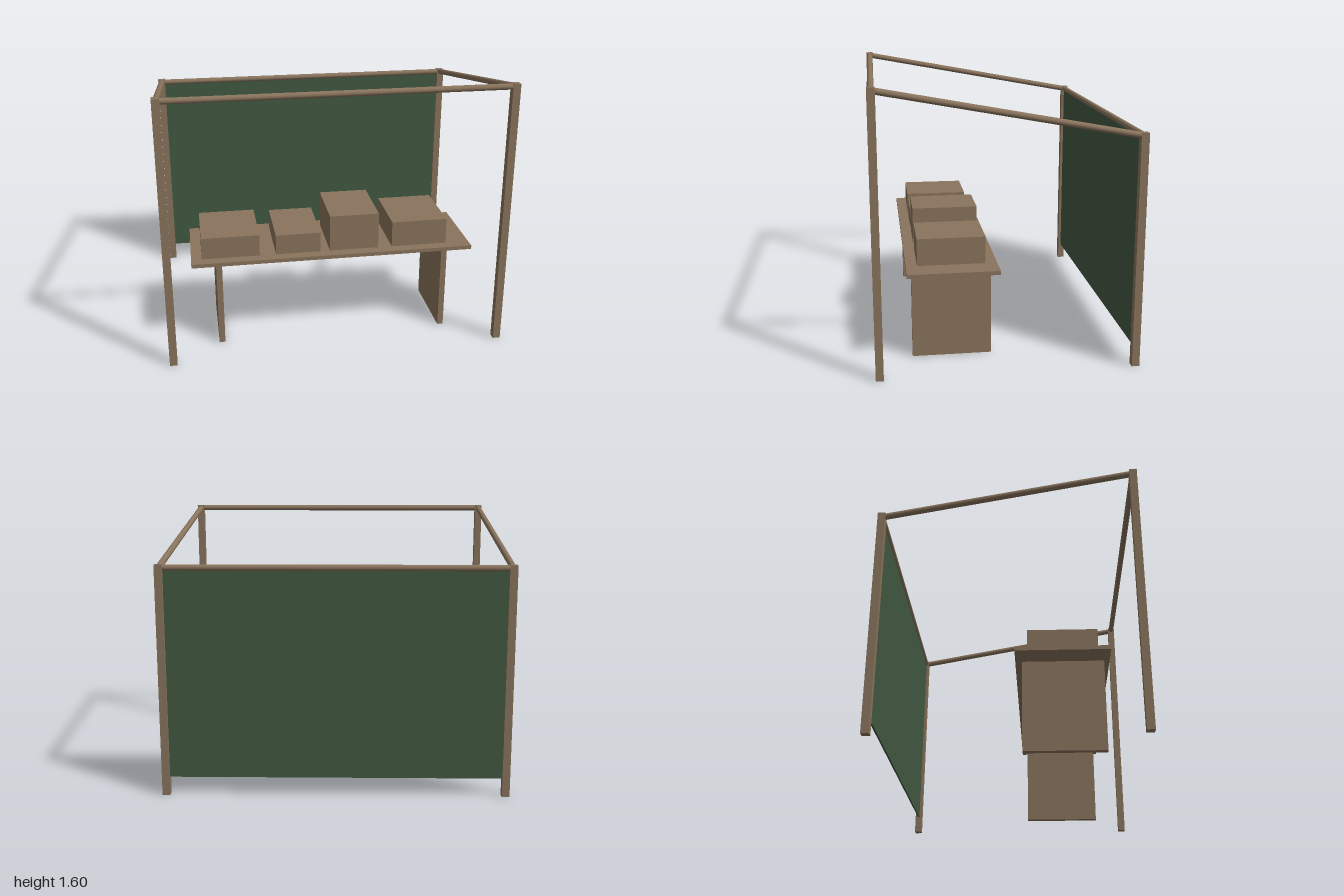
import * as THREE from 'three';

export function createModel() {
  const wood = new THREE.MeshStandardMaterial({ color: 0x8a745d });
  wood.name = 'wood';
  const cloth = new THREE.MeshStandardMaterial({ color: 0x425a42 });
  cloth.name = 'green cloth';
  const model = new THREE.Group();
  model.name = 'marketStall';

  // Box given by its extents on each axis
  function box(name, material, [x0, x1], [y0, y1], [z0, z1]) {
    const mesh = new THREE.Mesh(new THREE.BoxGeometry(x1 - x0, y1 - y0, z1 - z0), material);
    mesh.position.set((x0 + x1) / 2, (y0 + y1) / 2, (z0 + z1) / 2);
    mesh.name = name;
    model.add(mesh);
  }

  // Round rail between two points
  function rail(name, a, b) {
    const start = new THREE.Vector3(...a);
    const end = new THREE.Vector3(...b);
    const dir = end.clone().sub(start);
    const mesh = new THREE.Mesh(new THREE.CylinderGeometry(0.018, 0.018, dir.length(), 12), wood);
    mesh.position.copy(start).add(end).multiplyScalar(0.5);
    mesh.quaternion.setFromUnitVectors(new THREE.Vector3(0, 1, 0), dir.normalize());
    mesh.name = name;
    model.add(mesh);
  }

  const px = 0.978, pz = 0.717, half = 0.022;
  const frontTop = 1.6, backTop = 1.335;

  // Posts and sloping side rails
  for (const s of [-1, 1]) {
    const side = s > 0 ? 'left' : 'right';
    const xs = [s * px - half, s * px + half];
    box(side + 'FrontPost', wood, xs, [0, frontTop], [pz - half, pz + half]);
    box(side + 'BackPost', wood, xs, [0, backTop], [-pz - half, -pz + half]);
    rail(side + 'SideRail', [s * px, frontTop - 0.018, pz], [s * px, backTop - 0.018, -pz]);
  }

  // Cross rails
  rail('frontRail', [-px, frontTop - 0.018, pz], [px, frontTop - 0.018, pz]);
  rail('backRail', [-px, backTop - 0.018, -pz], [px, backTop - 0.018, -pz]);

  // Back cloth
  box('backCloth', cloth, [-0.965, 0.965], [0.105, 1.315], [-pz - 0.005, -pz + 0.005]);

  // Table
  box('tableTop', wood, [-0.845, 0.845], [0.525, 0.548], [0.03, 0.553]);
  for (const s of [-1, 1]) {
    box(s > 0 ? 'leftTableLeg' : 'rightTableLeg', wood,
      [s * 0.684 - 0.0175, s * 0.684 + 0.0175], [0, 0.525], [0.067, 0.523]);
  }

  // Crates: left edge, right edge, top
  const crates = [
    [-0.782, -0.44, 0.68],
    [-0.343, -0.074, 0.67],
    [-0.017, 0.279, 0.77],
    [0.363, 0.7, 0.706],
  ];
  crates.forEach(([x0, x1, top], i) => {
    box('crate' + (i + 1), wood, [x0, x1], [0.548, top], [0.097, 0.488]);
  });

  return model;
}
